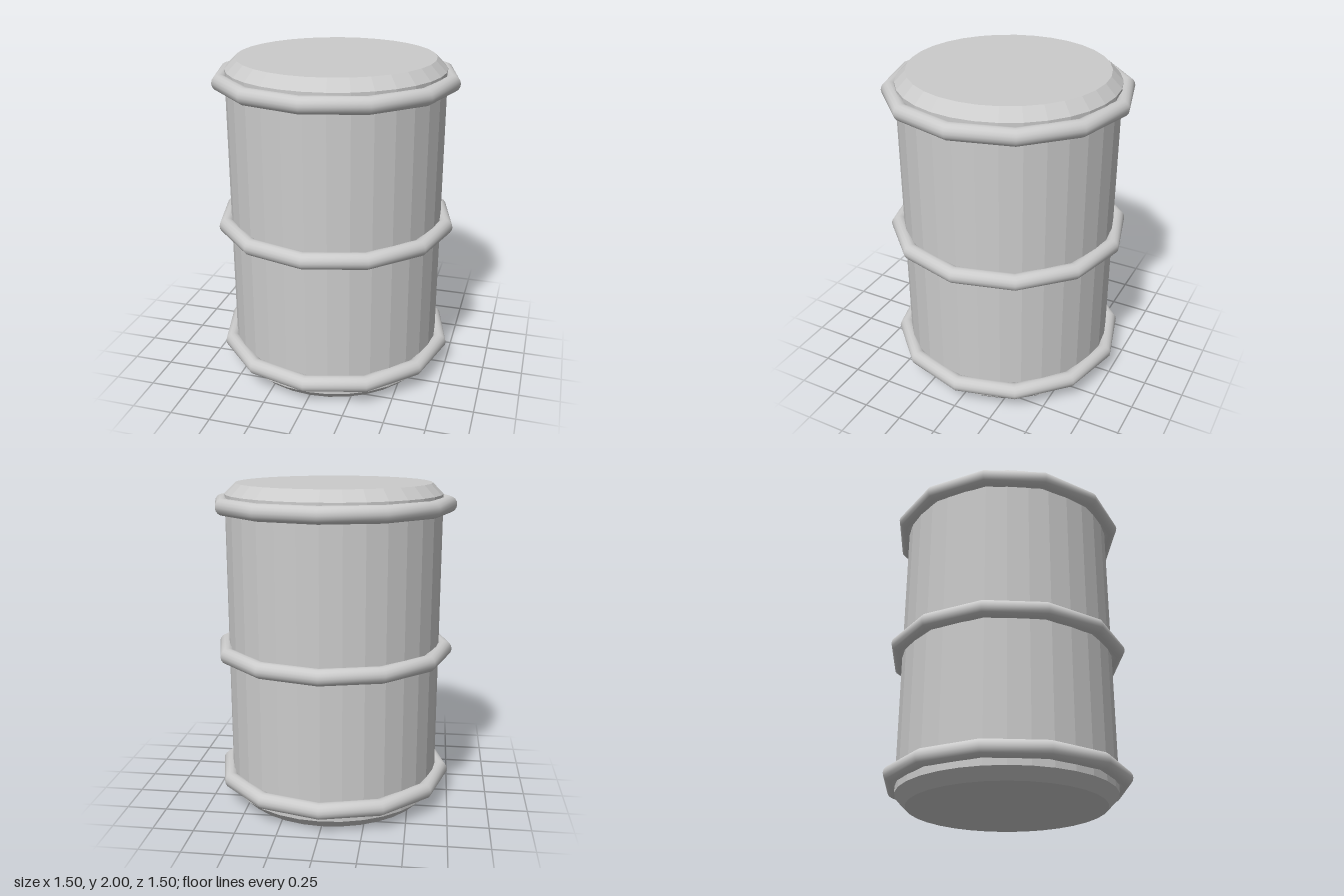
import * as THREE from 'three';

export function createModel() {
  const group = new THREE.Group();
  const flat = new THREE.MeshStandardMaterial({ color: 0xcccccc, flatShading: true });
  const smooth = new THREE.MeshStandardMaterial({ color: 0xcccccc });
  const add = (name, geometry, material, y) => {
    const mesh = new THREE.Mesh(geometry, material);
    mesh.name = name;
    mesh.position.y = y;
    group.add(mesh);
  };

  // Faceted drum with chamfered, closed ends
  const profile = [[0, 0], [0.6, 0], [0.665, 0.065], [0.665, 1.935], [0.6, 2], [0, 2]]
    .map(([r, y]) => new THREE.Vector2(r, y));
  add('drumBody', new THREE.LatheGeometry(profile, 32), flat, 0);

  // Twelve-sided hoops with a rounded section
  const hoop = new THREE.TorusGeometry(0.698, 0.05, 16, 12).rotateX(Math.PI / 2);
  add('bottomHoop', hoop, smooth, 0.15);
  add('middleHoop', hoop, smooth, 0.97);
  add('topHoop', hoop, smooth, 1.872);

  return group;
}
